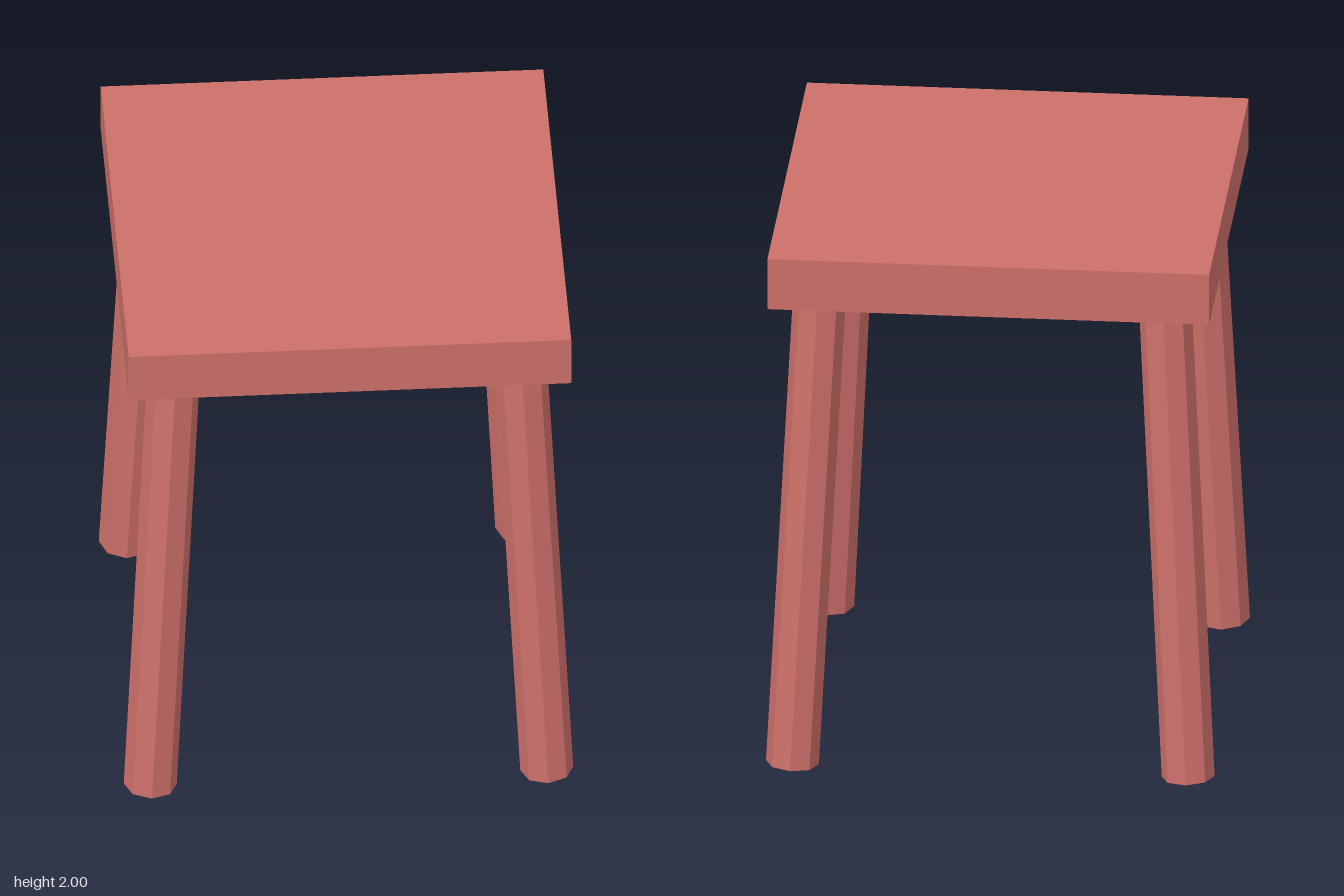
import * as THREE from 'three';

export function createModel() {
  const model = new THREE.Group();
  model.name = 'stool';
  const redWood = new THREE.MeshStandardMaterial({ color: 0xcd6f69 });
  redWood.name = 'red wood';
  redWood.flatShading = true;

  // Square slab seat
  const seat = new THREE.Mesh(new THREE.BoxGeometry(1.585, 0.195, 1.585), redWood);
  seat.name = 'seat';
  seat.position.y = 1.9025;
  model.add(seat);

  // Four octagonal legs, splayed outwards towards the corners
  const lean = 0.05;
  const footY = 0.007;
  const topY = 1.83;
  const up = new THREE.Vector3(0, 1, 0);
  const legGeometry = new THREE.CylinderGeometry(0.095, 0.095, 1, 8);
  for (const sz of [1, -1]) {
    for (const sx of [1, -1]) {
      const foot = new THREE.Vector3(sx * 0.71, footY, sz * 0.71);
      const inset = 0.71 - lean * (topY - footY);
      const top = new THREE.Vector3(sx * inset, topY, sz * inset);
      const axis = top.clone().sub(foot);
      const leg = new THREE.Mesh(legGeometry, redWood);
      leg.name = (sz > 0 ? 'front' : 'back') + (sx > 0 ? 'Left' : 'Right') + 'Leg';
      leg.position.copy(foot).add(top).multiplyScalar(0.5);
      leg.scale.y = axis.length();
      leg.quaternion.setFromUnitVectors(up, axis.normalize());
      model.add(leg);
    }
  }
  return model;
}
